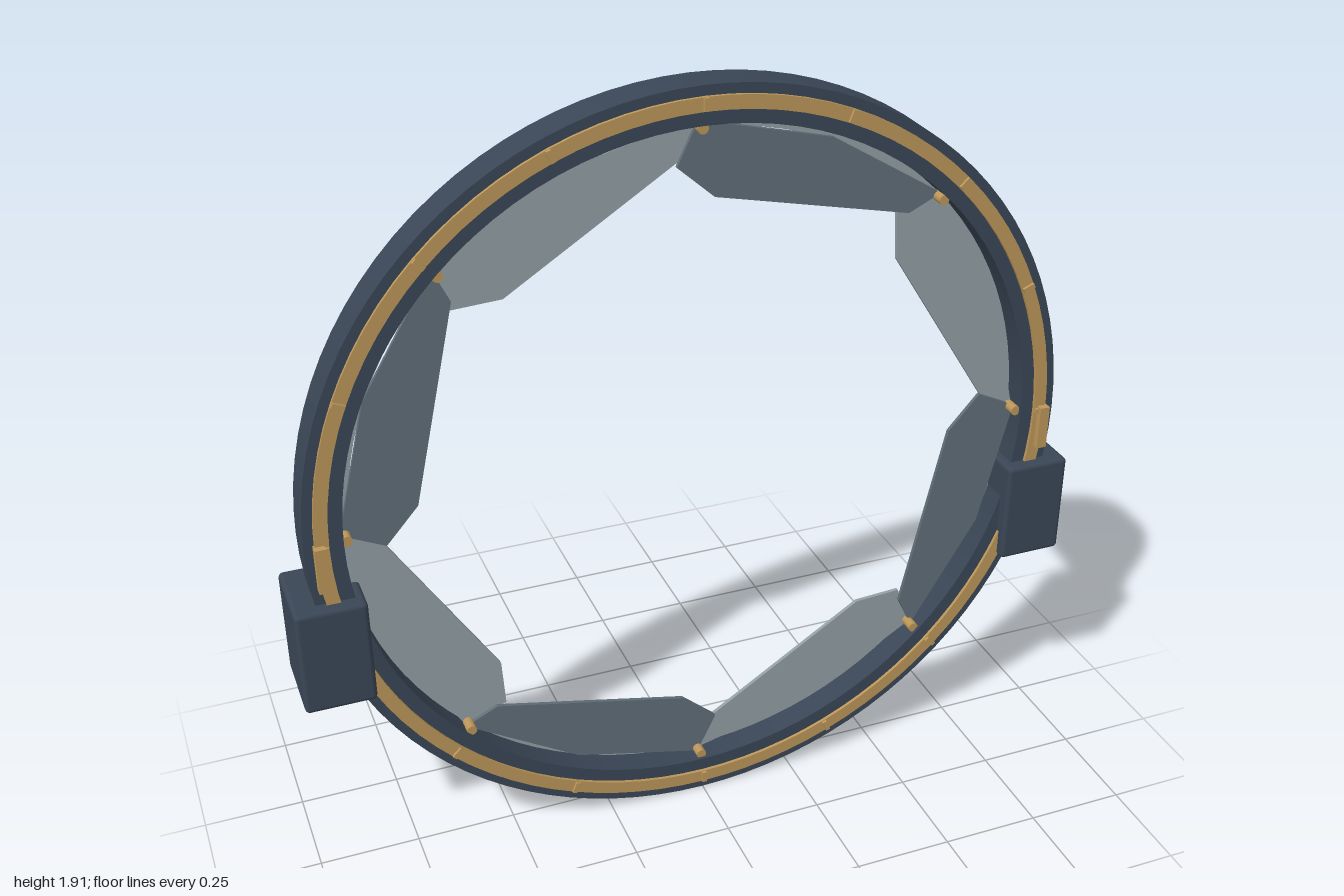
import * as THREE from 'three';
import { toCreasedNormals } from 'three/addons/utils/BufferGeometryUtils.js';
import { RoundedBoxGeometry } from 'three/addons/geometries/RoundedBoxGeometry.js';

const CENTER_Y = 0.956;

function material(name, color) {
  const m = new THREE.MeshStandardMaterial({ color });
  m.name = name;
  return m;
}

// Flat-edged ring with a rectangular section, facing z
function ringGeometry(inner, outer, back, front) {
  const profile = [[inner, back], [outer, back], [outer, front], [inner, front], [inner, back]]
    .map(([r, z]) => new THREE.Vector2(r, z));
  const g = new THREE.LatheGeometry(profile, 96);
  g.rotateX(Math.PI / 2);
  return toCreasedNormals(g, 0.6);
}

export function createModel() {
  const model = new THREE.Group();
  model.name = 'irisRing';
  const slate = material('dark slate', 0x3a4656);
  const brass = material('brass', 0xbd975a);
  const lightSteel = material('light steel', 0x939fa5);
  const darkSteel = material('dark steel', 0x606e78);

  const iris = new THREE.Group();
  iris.name = 'iris';
  iris.position.y = CENTER_Y;
  model.add(iris);

  const add = (parent, name, geometry, mat, x = 0, y = 0, z = 0) => {
    const mesh = new THREE.Mesh(geometry, mat);
    mesh.name = name;
    mesh.position.set(x, y, z);
    parent.add(mesh);
    return mesh;
  };

  // Frame, rear liner and front trim
  add(iris, 'outerFrame', ringGeometry(0.865, 0.956, -0.023, 0.07), slate);
  add(iris, 'rearLiner', ringGeometry(0.838, 0.885, -0.025, 0.005), lightSteel);
  add(iris, 'frontTrim', ringGeometry(0.899, 0.932, 0.065, 0.078), brass);

  // Eight overlapping blades, alternating in colour and layer
  const outline = [[0, 0.866], [-0.05, 0.763], [0.04, 0.683], [0.53, 0.573], [0.612, 0.612], [0.326, 0.786]];
  const bladeShape = new THREE.Shape(outline.map(([x, y]) => new THREE.Vector2(x, y)));
  const bladeGeometry = new THREE.ExtrudeGeometry(bladeShape, { depth: 0.01, bevelEnabled: false });
  const pinGeometry = new THREE.CylinderGeometry(0.013, 0.013, 0.04, 12);
  pinGeometry.rotateX(Math.PI / 2);
  for (let i = 0; i < 8; i++) {
    const angle = i * Math.PI / 4;
    const dark = i % 2 === 0;
    const blade = add(iris, 'blade', bladeGeometry, dark ? darkSteel : lightSteel, 0, 0, dark ? 0.022 : 0.01);
    blade.rotation.z = angle;
    add(iris, 'pivotPin', pinGeometry, brass, -0.856 * Math.sin(angle), 0.856 * Math.cos(angle), 0.042);
  }

  // Small studs spaced around the trim
  const studGeometry = new THREE.BoxGeometry(0.012, 0.03, 0.014);
  for (let i = 0; i < 16; i++) {
    const angle = i * Math.PI / 8;
    const stud = add(iris, 'trimStud', studGeometry, brass,
      -0.916 * Math.sin(angle), 0.916 * Math.cos(angle), 0.078);
    stud.rotation.z = angle;
  }

  // Side mounts and the plates above them
  for (const side of [-1, 1]) {
    add(model, 'sideMount', new RoundedBoxGeometry(0.17, 0.272, 0.208, 2, 0.012), slate, side * 0.915, 0.674, 0);
    add(model, 'sidePlate', new THREE.BoxGeometry(0.026, 0.115, 0.03), brass, side * 0.922, 0.91, 0.08);
  }
  return model;
}
